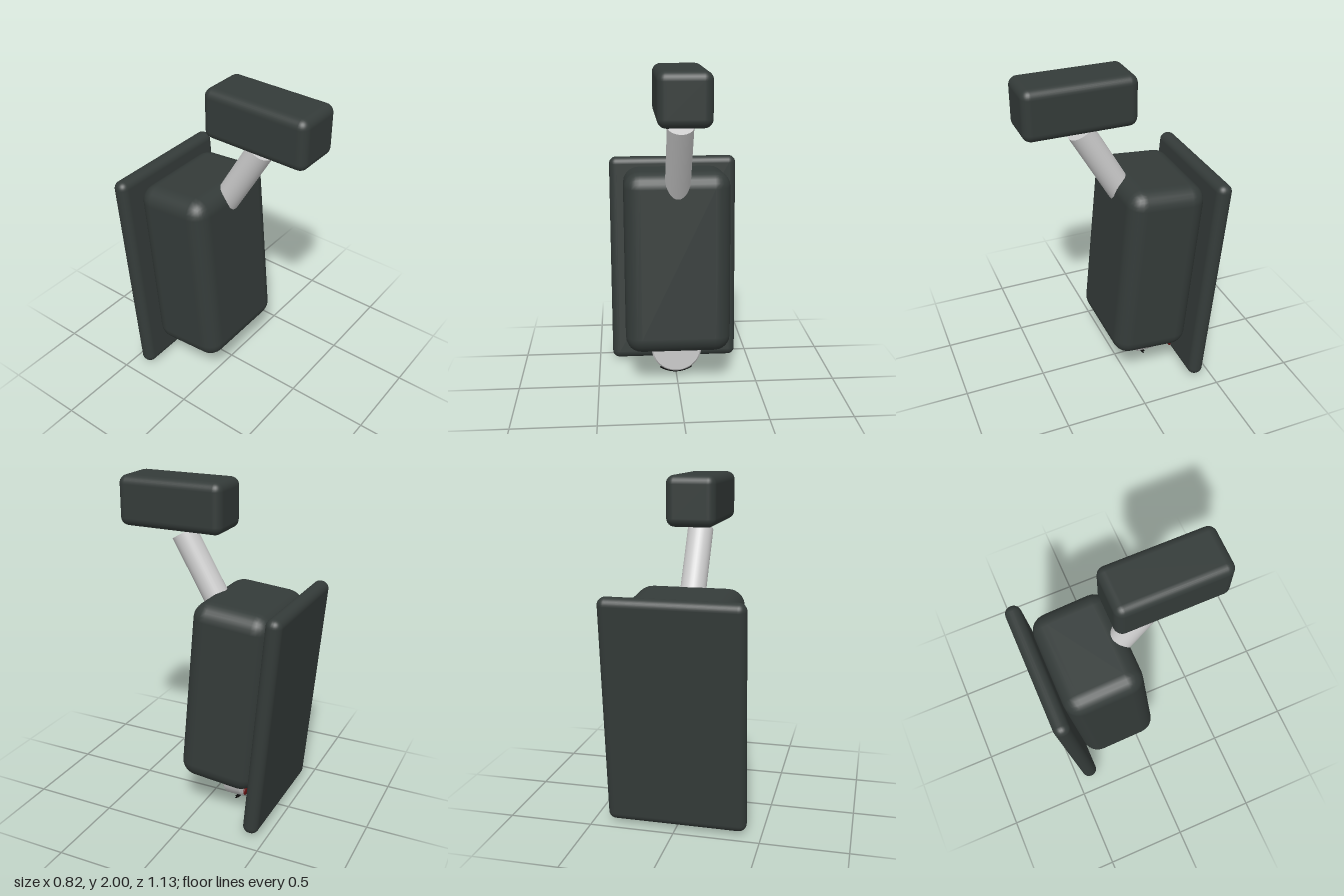
import * as THREE from 'three';
import { RoundedBoxGeometry } from 'three/addons/geometries/RoundedBoxGeometry.js';

const paint = (color) => new THREE.MeshStandardMaterial({ color });

export function createModel() {
  const model = new THREE.Group();
  const dark = paint(0x343b39);
  const grey = paint(0xcccccc);
  const black = paint(0x101010);
  const red = paint(0x661111);
  const lean = -0.087; // housing and plate tip backwards

  const add = (name, geometry, material, x, y, z, tilt = 0) => {
    const mesh = new THREE.Mesh(geometry, material);
    mesh.name = name;
    mesh.position.set(x, y, z);
    mesh.rotation.x = tilt;
    model.add(mesh);
    return mesh;
  };

  // Leaning back plate and the housing in front of it
  add('backPlate', new RoundedBoxGeometry(0.825, 1.36, 0.096, 4, 0.046), dark, 0, 0.695, -0.46, lean);
  add('housing', new RoundedBoxGeometry(0.65, 1.126, 0.48, 3, 0.1), dark, 0, 0.786, -0.175, lean);

  // Arm rising forwards out of the housing, running under the head
  const armTop = new THREE.Vector3(0, 1.672, 0.207);
  const armLength = 0.62;
  const armTilt = Math.PI / 6;
  const armAxis = new THREE.Vector3(0, Math.cos(armTilt), Math.sin(armTilt));
  const armCentre = armTop.clone().addScaledVector(armAxis, -armLength / 2);
  add('arm', new THREE.CylinderGeometry(0.077, 0.077, armLength, 32), grey,
    0, armCentre.y, armCentre.z, armTilt);

  // Head block
  add('head', new RoundedBoxGeometry(0.295, 0.295, 0.654, 4, 0.05), dark, 0, 1.8525, 0.237);

  // Round dispenser below the housing, with slightly bevelled rims
  const rim = [[0, -0.06], [0.15, -0.06], [0.16, -0.05], [0.16, 0.05], [0.15, 0.06], [0, 0.06]];
  const profile = rim.flatMap(([r, y], i) => {
    const p = new THREE.Vector2(r, y);
    return i > 0 && i < rim.length - 1 ? [p, p.clone()] : [p]; // doubled to keep rims crisp
  });
  add('nozzle', new THREE.LatheGeometry(profile, 48), grey, 0, 0.19, -0.175, Math.PI / 2);

  // Dark strip hugging the lowest part of the nozzle
  const arc = 1.25;
  const strip = add('nozzleStrip', new THREE.TorusGeometry(0.175, 0.01, 8, 24, arc), black, 0, 0.185, -0.175);
  strip.rotation.z = -Math.PI / 2 - arc / 2;

  // Small indicator light beside the nozzle
  const light = add('indicatorLight', new THREE.SphereGeometry(0.025, 20, 12), red, 0.205, 0.176, -0.295);
  light.scale.z = 0.42;

  return model;
}
